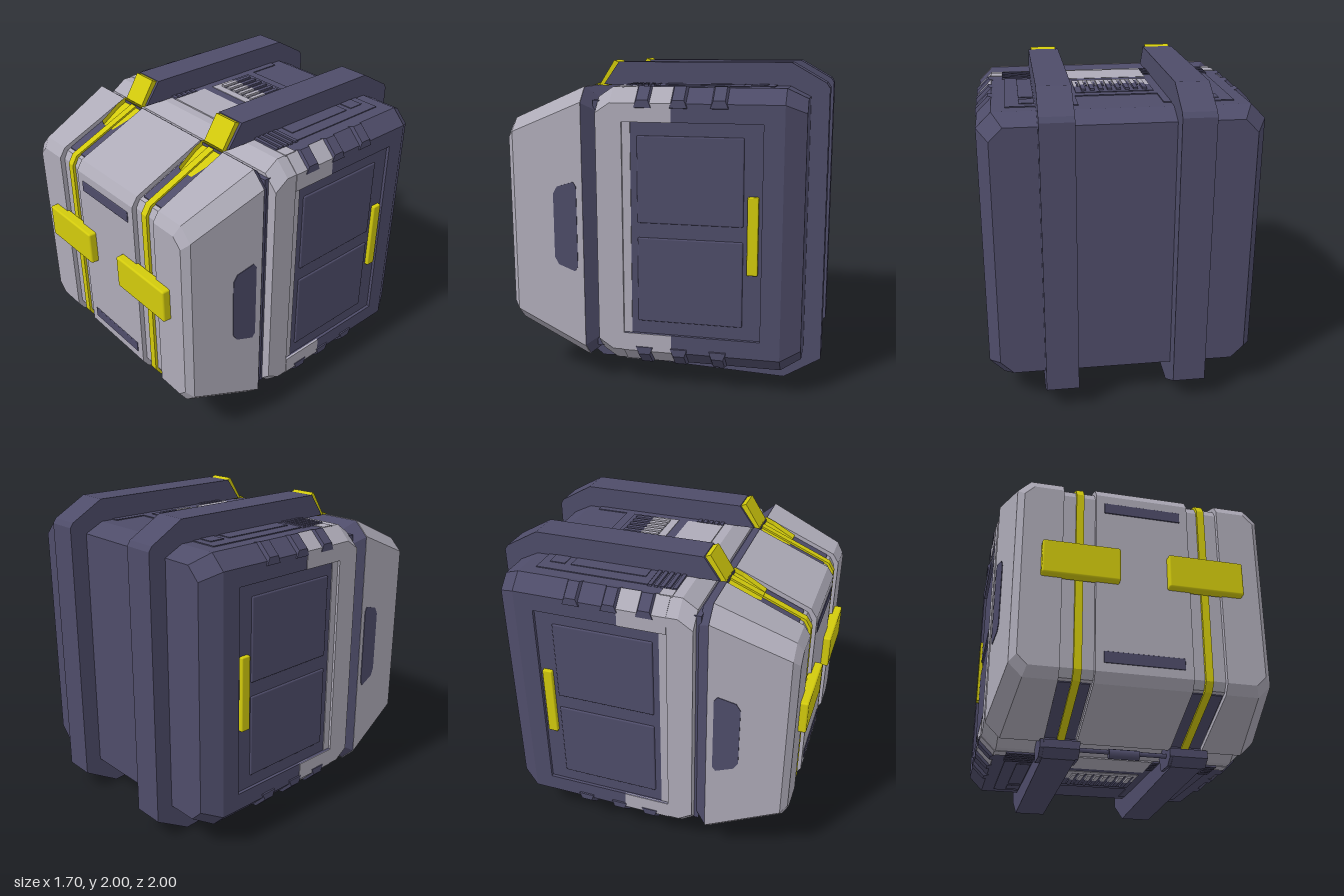
import * as THREE from 'three';
import { ConvexGeometry } from 'three/addons/geometries/ConvexGeometry.js';
import { RoundedBoxGeometry } from 'three/addons/geometries/RoundedBoxGeometry.js';

const flat = (name, color) => Object.assign(new THREE.MeshStandardMaterial({ color }), { name });

// Shape extruded along z from z0 to z1; y is measured from the middle height
function alongZ(pts, z0, z1) {
  const shape = new THREE.Shape(pts.map(p => new THREE.Vector2(...p)));
  return new THREE.ExtrudeGeometry(shape, { depth: z1 - z0, bevelEnabled: false }).translate(0, 0, z0);
}
// Side profile of [z, y] points extruded from x0 to x1
function alongX(pts, x0, x1) {
  return alongZ(pts, 0, x1 - x0).rotateY(-Math.PI / 2).translate(x1, 0, 0);
}
const box = (x0, x1, y0, y1, z0, z1) =>
  new THREE.BoxGeometry(x1 - x0, y1 - y0, z1 - z0).translate((x0 + x1) / 2, (y0 + y1) / 2, (z0 + z1) / 2);
const softBox = (x0, x1, y0, y1, z0, z1, r) =>
  new RoundedBoxGeometry(x1 - x0, y1 - y0, z1 - z0, 2, r).translate((x0 + x1) / 2, (y0 + y1) / 2, (z0 + z1) / 2);

// Solid through chamfered sections [z, halfWidth, halfHeight, corner]; cut at x = cut if given
function hull(sections, cut) {
  const pts = [];
  for (const [z, hx, hy, c] of sections) {
    for (const s of [-1, 1]) {
      pts.push(new THREE.Vector3(hx, s * (hy - c), z), new THREE.Vector3(hx - c, s * hy, z));
      if (cut !== undefined) pts.push(new THREE.Vector3(cut, s * hy, z));
      else pts.push(new THREE.Vector3(-hx, s * (hy - c), z), new THREE.Vector3(c - hx, s * hy, z));
    }
  }
  return new ConvexGeometry(pts);
}

// Mirrored copy with its corner order restored
function mirror(geo, sx, sy) {
  const g = geo.index ? geo.toNonIndexed() : geo.clone();
  const p = g.attributes.position, n = g.attributes.normal;
  for (let i = 0; i < p.count; i++) {
    p.setXY(i, p.getX(i) * sx, p.getY(i) * sy);
    n.setXY(i, n.getX(i) * sx, n.getY(i) * sy);
  }
  if (sx * sy < 0) {
    for (const a of [p, n]) {
      for (let i = 0; i < a.count; i += 3) {
        const u = new THREE.Vector3().fromBufferAttribute(a, i + 1);
        const v = new THREE.Vector3().fromBufferAttribute(a, i + 2);
        a.setXYZ(i + 1, v.x, v.y, v.z);
        a.setXYZ(i + 2, u.x, u.y, u.z);
      }
    }
  }
  return g;
}

export function createModel() {
  const grey = flat('shell grey', 0xaeabb8);
  const navy = flat('dark slate', 0x4e4c69);
  const yellow = flat('yellow', 0xd2ca0c);
  const model = new THREE.Group();
  model.name = 'storageCase';
  const all = new THREE.Group();
  all.name = 'caseParts';
  all.position.y = 1;
  model.add(all);

  // Adds a part, with copies mirrored left/right ('x') and top/bottom ('y')
  function put(name, geo, mat, axes = '') {
    for (const sx of axes.includes('x') ? [1, -1] : [1]) {
      for (const sy of axes.includes('y') ? [1, -1] : [1]) {
        const mesh = new THREE.Mesh(sx * sy === 1 && sx === 1 ? geo : mirror(geo, sx, sy), mat);
        mesh.name = name;
        all.add(mesh);
      }
    }
  }

  // Body: grey front collar, notched middle, bevelled back
  put('bodyCollar', hull([[0.35, 0.84, 0.79, 0.09], [0.26, 0.84, 0.85, 0.09], [0.19, 0.84, 0.85, 0.09]]), grey);
  const q = [[0.75, 0.85], [0.84, 0.76], [0.84, 0.65], [0.82, 0.65]];
  const right = [...q, ...q.map(([x, y]) => [x, -y]).reverse()];
  put('bodyMiddle', alongZ([...right, ...right.map(([x, y]) => [-x, y]).reverse()].reverse(), -0.65, 0.19), navy);
  put('bodyBack', hull([[-0.65, 0.84, 0.85, 0.09], [-0.77, 0.84, 0.85, 0.09], [-0.89, 0.77, 0.79, 0.08]]), navy);
  put('lidSeal', box(-0.78, 0.78, -0.77, 0.77, 0.33, 0.38), navy);

  // Grey wrap over the body corners
  put('cornerWrap', alongZ([[0.752, 0.853], [0.844, 0.761], [0.844, 0.65], [0.83, 0.65], [0.83, 0.755], [0.74, 0.84]],
    -0.11, 0.19), grey, 'xy');
  put('topWrap', box(0.68, 0.755, 0.84, 0.854, 0.12, 0.2), grey, 'xy');
  // Corner bumpers
  for (const z of [0.06, -0.155, -0.395]) {
    put('cornerBumper', hullBumper(z), navy, 'xy');
  }

  // Side doors
  put('doorEdge', box(0.815, 0.825, -0.65, 0.65, 0.14, 0.19), grey, 'x');
  for (const y of [0.045, -0.57]) {
    put('doorPanel', softBox(0.81, 0.83, y, y + 0.525, -0.54, 0.1, 0.009), navy, 'x');
  }
  put('doorHandle', softBox(0.81, 0.845, -0.24, 0.23, -0.63, -0.565, 0.008), yellow, 'x');

  // Top and bottom panels with vents
  put('topSidePanel', box(0.25, 0.67, 0.84, 0.856, -0.69, 0.02), navy, 'xy');
  put('topInset', box(0.5, 0.59, 0.85, 0.861, -0.64, -0.54), navy, 'xy');
  put('topInset', box(0.5, 0.59, 0.85, 0.861, -0.5, -0.02), navy, 'xy');
  put('topCentrePanel', box(-0.25, 0.25, 0.84, 0.856, -0.48, -0.04), navy, 'y');
  put('topCentrePatch', box(-0.25, 0.25, 0.84, 0.858, -0.04, 0.2), grey, 'y');
  put('ventBase', box(-0.24, 0.24, 0.85, 0.86, -0.265, -0.1), grey, 'y');
  put('ventBaseRear', box(-0.24, 0.24, 0.85, 0.86, -0.42, -0.265), navy, 'y');
  for (let i = 0; i < 8; i++) {
    const x = -0.19 + i * 0.054;
    put('ventSlat', box(x - 0.014, x + 0.014, 0.85, 0.872, -0.265, -0.15), grey, 'y');
    put('ventSlatRear', box(x - 0.014, x + 0.014, 0.85, 0.872, -0.385, -0.265), navy, 'y');
    put('ventGap', box(x + 0.02, x + 0.032, 0.85, 0.862, -0.265, -0.15), navy, 'y');
  }
  for (let i = 0; i < 5; i++) {
    put('gripRib', box(0.25, 0.68, 0.84, 0.862, 0.025 + i * 0.038, 0.048 + i * 0.038), navy, 'xy');
  }

  // Lid: dark back rim, two side shells, centre shell and sunken strap channels
  put('lidRim', hull([[0.365, 0.78, 0.79, 0.08], [0.44, 0.838, 0.845, 0.09]]), navy);
  const lid = [[0.44, 0.84, 0.85, 0.09], [0.91, 0.77, 0.65, 0.08], [0.95, 0.73, 0.59, 0.06]];
  put('lidSideShell', hull(lid, 0.49), grey, 'x');
  // Lid side profile pushed inwards by d
  const lidProfile = d => {
    const h = [[0.44, 0.85 - d], [0.91 - d * 0.6, 0.65 - d * 0.8], [0.95 - d, 0.59 - d * 0.5]];
    return [...h, ...h.map(([z, y]) => [z, -y]).reverse()].reverse();
  };
  put('lidCentreShell', alongX(lidProfile(0), -0.29, 0.29), grey);
  put('strapChannel', alongX(lidProfile(0.03), 0.29, 0.49), grey, 'x');
  put('channelPad', alongX([[0.44, 0.825], [0.87, 0.642], [0.87, 0.62], [0.44, 0.8]], 0.3, 0.485), navy, 'xy');
  put('strap', alongX(lidProfile(0.012), 0.363, 0.41), yellow, 'x');
  put('strapLatch', softBox(0.148, 0.616, -0.025, 0.195, 0.93, 1, 0.012), yellow, 'x');
  for (const y of [-0.5, 0.5]) {
    put('frontSlot', softBox(-0.24, 0.24, y - 0.036, y + 0.036, 0.943, 0.955, 0.005), navy);
  }

  // Lid side windows, sheared to follow the tapered wall
  const w = [[0.48, -0.25], [0.5, -0.28], [0.61, -0.245], [0.637, -0.2]];
  const win = alongX([...w, ...w.map(([z, y]) => [z, -y]).reverse()], 0.836, 0.844);
  const wp = win.attributes.position;
  for (let i = 0; i < wp.count; i++) wp.setX(i, wp.getX(i) - (wp.getZ(i) - 0.44) * 0.149);
  put('lidSideWindow', win, navy, 'x');

  // Wrap-around rails
  put('rail', alongX([[0.3, 0.99], [-0.77, 0.99], [-0.98, 0.87], [-1, 0.84], [-1, -0.86], [-0.77, -1], [0.43, -0.95],
    [0.49, -0.9], [0.49, -0.85], [-0.76, -0.84], [-0.87, -0.77], [-0.87, 0.77], [-0.76, 0.84], [0.4, 0.85]],
    0.295, 0.495), navy, 'x');
  put('hingeBlock', alongX([[0.26, -0.85], [0.29, -0.94], [0.43, -0.945], [0.488, -0.9], [0.488, -0.85], [0.43, -0.85],
    [0.36, -0.8]], 0.277, 0.517), navy, 'x');
  put('hingePin', new THREE.CylinderGeometry(0.015, 0.015, 0.6, 8).rotateZ(Math.PI / 2).translate(0, -0.875, 0.4), navy);
  put('hingeBarrel', new THREE.CylinderGeometry(0.032, 0.032, 0.19, 8).rotateZ(Math.PI / 2).translate(0.01, -0.885, 0.4), navy);

  // Yellow clasps: a plate on the rail end and a tapered tongue on the lid
  put('claspPlate', alongX([[0.335, 1], [0.3, 0.985], [0.39, 0.84], [0.435, 0.845]], 0.312, 0.478), yellow, 'x');
  const tongue = alongZ([[-0.085, 0], [-0.085, 0.07], [-0.05, 0.23], [0.05, 0.23], [0.085, 0.07], [0.085, 0]].reverse(),
    -0.03, 0);
  tongue.rotateX(Math.PI / 2).rotateY(0).scale(1, -1, 1);
  put('claspTongue', mirror(tongue, 1, -1).rotateX(0.402).translate(0.395, 0.832, 0.425), yellow, 'x');

  return model;
}

// Faceted block sitting on a body corner
function hullBumper(z) {
  const pts = [[0.735, 0.85], [0.77, 0.857], [0.848, 0.78], [0.848, 0.735], [0.8, 0.72], [0.72, 0.8]];
  const geo = [];
  for (const [x, y] of pts) {
    const d = x > 0.76 && y > 0.76 ? 0.035 : 0.052;
    geo.push(new THREE.Vector3(x, y, z - d), new THREE.Vector3(x, y, z + d));
  }
  return new ConvexGeometry(geo);
}
